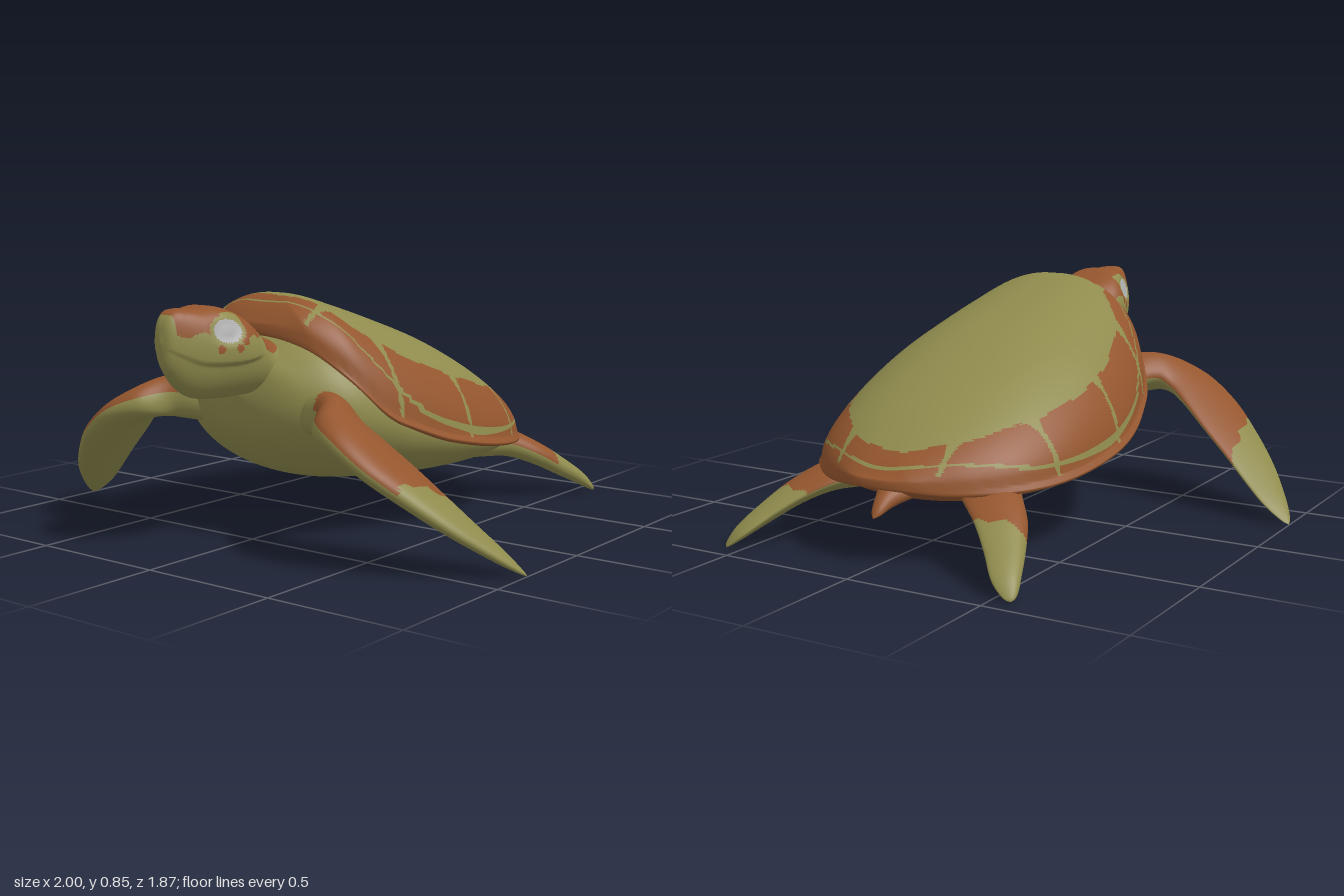
import * as THREE from 'three';

const olive = new THREE.MeshStandardMaterial({ color: 0x8f8b4d });
const brown = new THREE.MeshStandardMaterial({ color: 0x94562e });
const eyeGrey = new THREE.MeshStandardMaterial({ color: 0xb0b0b0 });
olive.name = 'olive skin';
brown.name = 'brown scute';
eyeGrey.name = 'pale eye';
const materials = [olive, brown, eyeGrey];
const OLIVE = 0, BROWN = 1, EYE = 2;
const { smoothstep, clamp } = THREE.MathUtils;

// Smooth lookup through rows sorted by their first value; returns the other columns
function sample(rows, x) {
  const n = rows.length - 1;
  let k = 0;
  while (k < n - 1 && x > rows[k + 1][0]) k++;
  const a = rows[k], b = rows[k + 1], h = b[0] - a[0];
  const t = clamp((x - a[0]) / h, 0, 1);
  return a.slice(1).map((_, m) => {
    const c = m + 1;
    const slope = (i) => {
      const p = rows[Math.max(i - 1, 0)], q = rows[Math.min(i + 1, n)];
      return (q[c] - p[c]) / (q[0] - p[0]);
    };
    const t2 = t * t, t3 = t2 * t;
    return a[c] * (2 * t3 - 3 * t2 + 1) + b[c] * (3 * t2 - 2 * t3)
      + h * (slope(k) * (t3 - 2 * t2 + t) + slope(k + 1) * (t3 - t2));
  });
}

// Surface of nu rings of nv points, closed round the ring, coloured face by face
function surface(name, nu, nv, point, pick, flip = false) {
  const pts = [], faces = [[], [], []];
  for (let i = 0; i <= nu; i++)
    for (let j = 0; j < nv; j++) pts.push(point(i / nu, j / nv));
  for (let i = 0; i < nu; i++)
    for (let j = 0; j < nv; j++) {
      const a = i * nv + j, d = i * nv + (j + 1) % nv, b = a + nv, c = d + nv;
      for (const tri of [[a, b, c], [a, c, d]]) {
        const mid = new THREE.Vector3();
        tri.forEach((k) => mid.addScaledVector(pts[k], 1 / 3));
        if (flip) tri.reverse();
        faces[pick(mid, (i + 0.5) / nu, (j + 0.5) / nv)].push(...tri);
      }
    }
  const geo = new THREE.BufferGeometry().setFromPoints(pts);
  geo.setIndex(faces.flat());
  let start = 0;
  faces.forEach((f, m) => {
    if (f.length) geo.addGroup(start, f.length, m);
    start += f.length;
  });
  geo.computeVertexNormals();
  const mesh = new THREE.Mesh(geo, materials);
  mesh.name = name;
  return mesh;
}

// Shell: plan outline, rim height and ridge height
const half = [[0, 0.485], [0.14, 0.475], [0.26, 0.445], [0.37, 0.38], [0.44, 0.29], [0.48, 0.18],
  [0.513, 0.05], [0.532, -0.1], [0.522, -0.28], [0.485, -0.45], [0.42, -0.59], [0.32, -0.7],
  [0.2, -0.785], [0.09, -0.84], [0, -0.852]];
const rimRows = [[-0.86, 0.275], [-0.75, 0.255], [-0.4, 0.27], [0, 0.34], [0.2, 0.41], [0.3, 0.465],
  [0.4, 0.59], [0.49, 0.735]];
const ridgeRows = [[-0.86, 0.29], [-0.75, 0.38], [-0.6, 0.482], [-0.4, 0.592], [-0.2, 0.682], [0, 0.752],
  [0.2, 0.815], [0.36, 0.856], [0.42, 0.835], [0.49, 0.79]];

function makeShell() {
  const loop = [...half, ...half.slice(1, -1).reverse().map(([x, z]) => [-x, z])];
  const curve = new THREE.CatmullRomCurve3(loop.map(([x, z]) => new THREE.Vector3(x, 0, z)), true);
  const nv = 320, outline = curve.getSpacedPoints(nv), zc = -0.18, rimAt = 0.92;
  const widthRows = outline.slice(0, nv / 2 + 1).reverse().map((p) => [p.z, p.x]);
  const uOf = (t) => 1 - Math.pow(1 - Math.min(t / rimAt, 1), 1.5);
  const point = (t, v) => {
    const p = outline[Math.round(v * nv)];
    if (t > rimAt + 0.001) {
      // rolled lip and underside
      const k = (t - rimAt) / (1 - rimAt), u = 1 - 0.3 * k * k;
      return new THREE.Vector3(p.x * u, sample(rimRows, p.z)[0] - 0.02 * Math.sqrt(k), zc + (p.z - zc) * u);
    }
    // domed cross-section ending in a narrow flared lip
    const u = uOf(t), x = p.x * u, z = zc + (p.z - zc) * u;
    const width = Math.max(sample(widthRows, z)[0], 0.001);
    const s = Math.min(Math.max(Math.abs(x) / width, u ** 12), 1);
    const edge = sample(rimRows, z)[0], rise = Math.max(sample(ridgeRows, z)[0] - edge - 0.025, 0);
    const dome = Math.pow(1 - Math.min(s / 0.965, 1) ** 2.2, 0.57);
    return new THREE.Vector3(x, edge + 0.025 * Math.min((1 - s) / 0.035, 1) + rise * dome, z);
  };
  const pick = (p, t, v) => {
    if (t > rimAt) return BROWN;
    const u = uOf(t), x = Math.abs(p.x);
    const inner = 0.795 + 0.06 * smoothstep(Math.abs(p.z + 0.15), 0.3, 0.6) + 0.006 * Math.sin(v * 88);
    if (u < inner) return OLIVE;
    // seams between the edge scutes, wider at the inner corners
    const gap = 0.009 + 0.22 * Math.max(inner + 0.06 - u, 0);
    const side = x > 0.3 && [0.23, -0.1, -0.45].some((z) => Math.abs(p.z - z) < gap);
    const end = (p.z > 0.3 || p.z < -0.6) && Math.abs(x - 0.2) < gap;
    // thin line that parts the scutes from the lip
    const line = 0.962 - 0.06 * smoothstep(p.z, 0.1, 0.42) - 0.025 * smoothstep(-p.z, 0.5, 0.8);
    if (Math.abs(u - line) < 0.005) return OLIVE;
    return u < 0.975 && (side || end) ? OLIVE : BROWN;
  };
  return surface('shell', 84, nv, point, pick);
}

// Round-bodied lofts along z: z, half width, middle, bottom and top heights
function loftZ(name, rows, nu, nv, pick, shape = (c) => c) {
  const z0 = rows[0][0], z1 = rows[rows.length - 1][0];
  return surface(name, nu, nv, (t, v) => {
    const z = z0 + (z1 - z0) * (1 - Math.cos(t * Math.PI)) / 2, a = v * Math.PI * 2;
    const [w, mid, bottom, top] = sample(rows, z);
    const s = -Math.sin(a);
    const y = mid + s * (s > 0 ? top - mid : mid - bottom);
    return new THREE.Vector3(Math.max(w, 0) * shape(Math.cos(a), y, z, s), y, z);
  }, pick);
}

const bodyRows = [[-0.79, 0, 0.26, 0.26, 0.26], [-0.72, 0.22, 0.26, 0.215, 0.29], [-0.6, 0.36, 0.27, 0.18, 0.32],
  [-0.4, 0.46, 0.28, 0.162, 0.38], [-0.1, 0.51, 0.33, 0.158, 0.46], [0.15, 0.46, 0.39, 0.175, 0.62],
  [0.3, 0.42, 0.44, 0.205, 0.73], [0.42, 0.365, 0.47, 0.26, 0.73], [0.5, 0.27, 0.5, 0.335, 0.67],
  [0.55, 0.15, 0.51, 0.42, 0.62], [0.57, 0, 0.52, 0.52, 0.52]];
const bodyColour = (p) => ((p.z < -0.47 && p.y > 0.205) || p.z < -0.59 ? BROWN : OLIVE);

// Short pointed tail, same columns
const tailRows = [[-0.853, 0, 0.166, 0.166, 0.166], [-0.835, 0.018, 0.18, 0.167, 0.2], [-0.78, 0.04, 0.215, 0.182, 0.252],
  [-0.7, 0.08, 0.235, 0.198, 0.28], [-0.6, 0.11, 0.25, 0.205, 0.3]];

const headRows = [[0.34, 0.17, 0.57, 0.4, 0.69], [0.45, 0.145, 0.6, 0.46, 0.705], [0.52, 0.125, 0.63, 0.515, 0.735],
  [0.58, 0.137, 0.66, 0.523, 0.78], [0.65, 0.154, 0.685, 0.523, 0.812], [0.73, 0.14, 0.7, 0.528, 0.838],
  [0.8, 0.112, 0.7, 0.54, 0.834], [0.86, 0.078, 0.71, 0.575, 0.836], [0.9, 0.053, 0.72, 0.62, 0.828],
  [0.925, 0.03, 0.73, 0.665, 0.79], [0.933, 0, 0.735, 0.735, 0.735]];
const mouthRows = [[0.58, 0.675], [0.7, 0.66], [0.82, 0.665], [0.88, 0.69], [0.94, 0.725]];
const eyeRange = (y, z) => Math.hypot((z - 0.742) / 0.05, (y - 0.762) / 0.038);

// Squarer brow above, shallow eye sockets, and a lower jaw that tucks in under the beak
function headShape(c, y, z, s) {
  const boxy = s > 0 ? 1 - 0.4 * smoothstep(z, 0.55, 0.68) : 1;
  const tuck = smoothstep(sample(mouthRows, z)[0] - y, 0, 0.012) * smoothstep(z, 0.58, 0.64);
  const socket = Math.abs(c) > 0.2 ? 1 - smoothstep(eyeRange(y, z), 0.5, 1.5) : 0;
  return Math.sign(c) * Math.abs(c) ** boxy * (1 - 0.09 * tuck - 0.08 * socket);
}

function headColour(p) {
  const x = Math.abs(p.x), { y, z } = p;
  const fromEye = eyeRange(y, z);
  if (x > 0.05 && fromEye < 1) return EYE;
  // small spots under the eye
  if ([[0.775, 0.705], [0.71, 0.705], [0.685, 0.725]].some(([a, b]) => Math.hypot(z - a, y - b) < 0.014)) return BROWN;
  if (x > 0.09 && (fromEye < 1.3 || (Math.abs(z - 0.72) < 0.035 && y > 0.765))) return OLIVE;
  if (z > 0.905 && y < 0.82) return OLIVE;
  const low = z > 0.74 ? 0.755 : z > 0.56 ? 0.735 : 0.675;
  return y > low + 0.008 * Math.sin(z * 70) ? BROWN : OLIVE;
}

// Flippers: leading edge, trailing edge and thickness from root to tip
const frontFlipper = {
  lead: [[0.12, 0.45, 0.46], [0.25, 0.475, 0.525], [0.33, 0.485, 0.56], [0.4, 0.47, 0.655], [0.5, 0.43, 0.7],
    [0.62, 0.35, 0.69], [0.74, 0.255, 0.62], [0.85, 0.16, 0.53], [0.945, 0.07, 0.42], [1.01, 0.004, 0.335]],
  trail: [[0.22, 0.45, 0.3], [0.34, 0.46, 0.36], [0.41, 0.465, 0.445], [0.455, 0.44, 0.455], [0.53, 0.385, 0.43],
    [0.62, 0.31, 0.395], [0.72, 0.225, 0.365], [0.81, 0.145, 0.335], [0.9, 0.068, 0.307], [0.985, 0.002, 0.298]],
  thick: [[0, 0.07], [0.2, 0.072], [0.4, 0.052], [0.7, 0.033], [0.9, 0.018], [1, 0.008]],
  brown: (p, x) => x > 0.31 + 0.6 * Math.max(0.47 - p.z, 0) && x < 0.755 - 0.14 * (p.z - 0.35) + 0.008 * Math.sin(p.z * 60),
};
const rearFlipper = {
  lead: [[0.32, 0.23, -0.45], [0.4, 0.215, -0.57], [0.47, 0.17, -0.66], [0.52, 0.11, -0.76],
    [0.56, 0.05, -0.86], [0.58, 0.006, -0.915]],
  trail: [[0.16, 0.24, -0.6], [0.25, 0.225, -0.7], [0.34, 0.18, -0.775], [0.42, 0.12, -0.85],
    [0.49, 0.055, -0.92], [0.55, 0.004, -0.945]],
  thick: [[0, 0.06], [0.3, 0.045], [0.7, 0.028], [1, 0.008]],
  brown: (p, x) => p.z > -0.775 + 0.25 * (x - 0.34) + 0.008 * Math.sin(x * 60),
};

function makeFlipper(name, spec, side) {
  const curve = (list) => new THREE.CatmullRomCurve3(list.map((p) => new THREE.Vector3(...p)));
  const lead = curve(spec.lead), trail = curve(spec.trail);
  const mid = (t) => lead.getPoint(t).lerp(trail.getPoint(t), 0.5);
  const point = (t, v) => {
    const a = v * Math.PI * 2, chord = lead.getPoint(t).sub(trail.getPoint(t)).multiplyScalar(0.5);
    const along = mid(Math.min(t + 0.01, 1)).sub(mid(Math.max(t - 0.01, 0)));
    const up = chord.clone().cross(along).normalize();
    const close = Math.sqrt(Math.max(1 - t ** 24, 0));
    const p = mid(t).addScaledVector(chord, Math.cos(a) * close)
      .addScaledVector(up, Math.sin(a) * (1 + 0.35 * Math.cos(a)) * sample(spec.thick, t)[0] * close);
    p.x *= side;
    p.y = Math.max(p.y, 0);
    return p;
  };
  // brown on the upper face only
  const pick = (p, t, v) => (v > 0.03 && v < 0.49 && spec.brown(p, Math.abs(p.x)) ? BROWN : OLIVE);
  return surface(name, 64, 48, point, pick, side < 0);
}

export function createModel() {
  const turtle = new THREE.Group();
  turtle.name = 'seaTurtle';
  turtle.add(makeShell());
  turtle.add(loftZ('body', bodyRows, 60, 72, bodyColour));
  turtle.add(loftZ('tail', tailRows, 24, 24, () => BROWN));
  turtle.add(loftZ('headAndNeck', headRows, 100, 128, headColour, headShape));
  for (const [label, side] of [['left', 1], ['right', -1]]) {
    turtle.add(makeFlipper(label + 'FrontFlipper', frontFlipper, side));
    turtle.add(makeFlipper(label + 'RearFlipper', rearFlipper, side));
  }
  return turtle;
}
